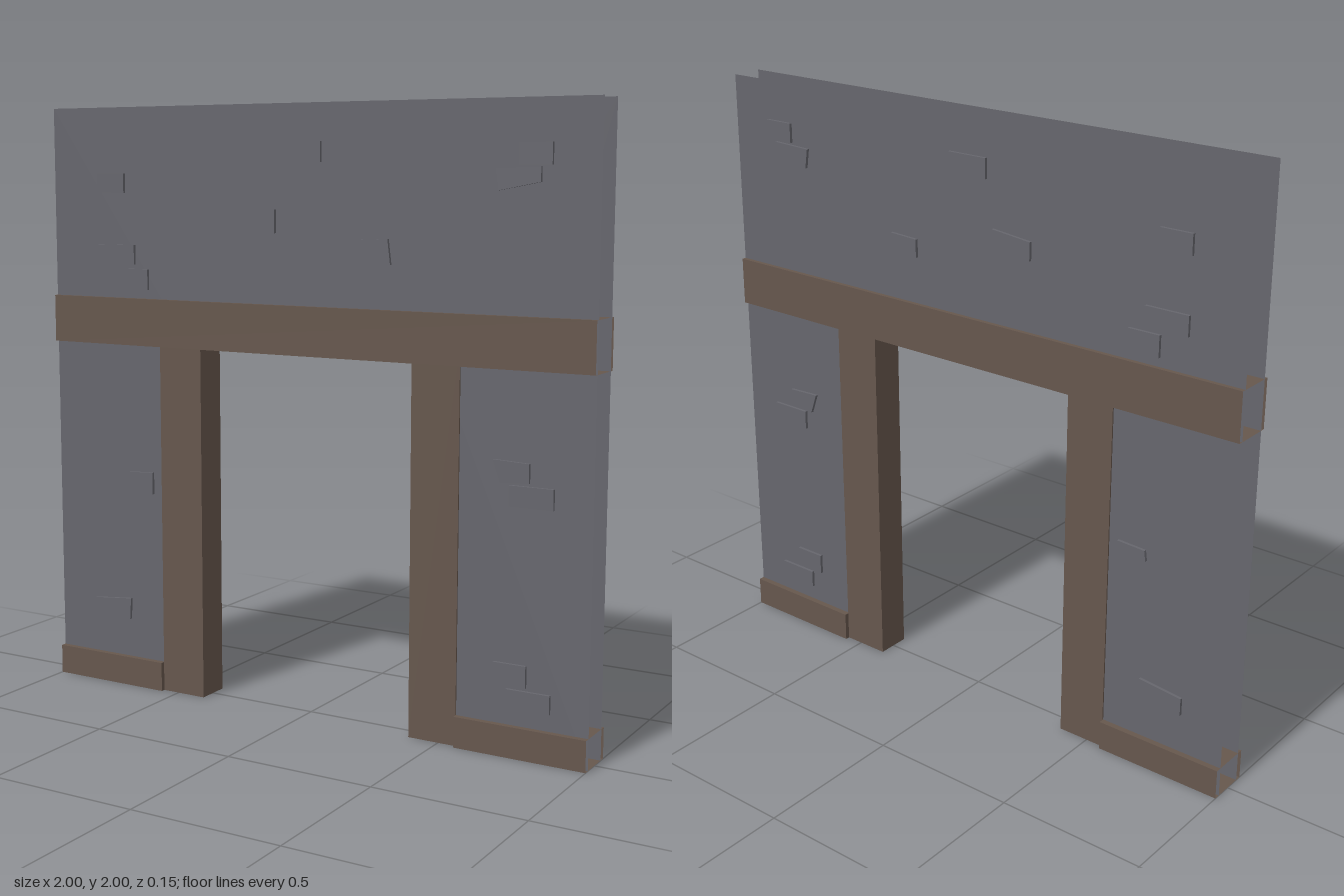
import * as THREE from 'three';

const stone = new THREE.MeshStandardMaterial({ color: 0x66666d, side: THREE.DoubleSide });
stone.name = 'stone grey';
const wood = new THREE.MeshStandardMaterial({ color: 0x66574d, side: THREE.DoubleSide });
wood.name = 'wood brown';

// Hollow box with chosen sides left open (0:+x 1:-x 2:+y 3:-y 4:+z 5:-z)
function openBox(name, x0, x1, y0, y1, halfZ, open) {
  const geo = new THREE.BoxGeometry(x1 - x0, y1 - y0, halfZ * 2);
  geo.translate((x0 + x1) / 2, (y0 + y1) / 2, 0);
  const index = Array.from(geo.index.array);
  geo.setIndex(index.filter((_, i) => !open.includes(Math.floor(i / 6))));
  geo.clearGroups();
  const mesh = new THREE.Mesh(geo, wood);
  mesh.name = name;
  return mesh;
}

function polygon(points) {
  return new THREE.Shape(points.map(([x, y]) => new THREE.Vector2(x, y)));
}

const rect = (x0, x1, y0, y1) => [[x0, y0], [x1, y0], [x1, y1], [x0, y1]];

// Corners of each stone that pokes through both wall faces
const BRICKS = [
  rect(-0.81, -0.70, 1.715, 1.78),
  rect(-0.075, 0.07, 1.815, 1.88),
  rect(0.745, 0.85, 1.805, 1.87),
  [[0.68, 1.73], [0.815, 1.755], [0.815, 1.80], [0.67, 1.795]],
  [[-0.245, 1.59], [-0.10, 1.59], [-0.10, 1.665], [-0.245, 1.65]],
  [[0.205, 1.515], [0.32, 1.50], [0.31, 1.58], [0.205, 1.575]],
  rect(-0.81, -0.66, 1.475, 1.54),
  rect(-0.715, -0.605, 1.39, 1.46),
  [[0.70, 0.855], [0.795, 0.86], [0.795, 0.92], [0.675, 0.925]],
  rect(0.73, 0.875, 0.785, 0.85),
  rect(0.685, 0.795, 0.225, 0.295),
  rect(0.73, 0.875, 0.155, 0.215),
  [[-0.70, 0.725], [-0.595, 0.69], [-0.595, 0.765], [-0.695, 0.76]],
  [[-0.85, 0.235], [-0.70, 0.235], [-0.695, 0.31], [-0.85, 0.295]],
];

export function createModel() {
  const model = new THREE.Group();
  model.name = 'wallWithDoorway';

  // Front and back wall skins, cut out for the doorway
  const skin = new THREE.ShapeGeometry(polygon([
    [-1, 0], [-0.47, 0], [-0.47, 1.24], [0.47, 1.24],
    [0.47, 0], [1, 0], [1, 2], [-1, 2],
  ]));
  for (const side of [1, -1]) {
    const mesh = new THREE.Mesh(skin, stone);
    mesh.name = side > 0 ? 'frontWall' : 'backWall';
    mesh.position.z = 0.053 * side;
    if (side < 0) mesh.rotation.y = Math.PI;
    model.add(mesh);
  }

  // Raised stones
  const bricks = new THREE.Group();
  bricks.name = 'raisedStones';
  for (const corners of BRICKS) {
    const geo = new THREE.ExtrudeGeometry(polygon(corners), { depth: 0.126, bevelEnabled: false });
    geo.translate(0, 0, -0.063);
    const brick = new THREE.Mesh(geo, stone);
    brick.name = 'raisedStone';
    bricks.add(brick);
  }
  model.add(bricks);

  // Lintel beam, open at both ends
  model.add(openBox('lintelBeam', -1, 1, 1.2, 1.36, 0.068, [0, 1]));

  // Door posts and skirting on both sides
  model.add(openBox('leftPost', 0.395, 0.56, 0, 1.26, 0.058, [2, 3]));
  model.add(openBox('rightPost', -0.56, -0.395, 0, 1.26, 0.058, [2, 3]));
  model.add(openBox('leftSkirting', 0.56, 1, 0, 0.1, 0.073, [0]));
  model.add(openBox('rightSkirting', -1, -0.56, 0, 0.1, 0.073, [1]));

  return model;
}
